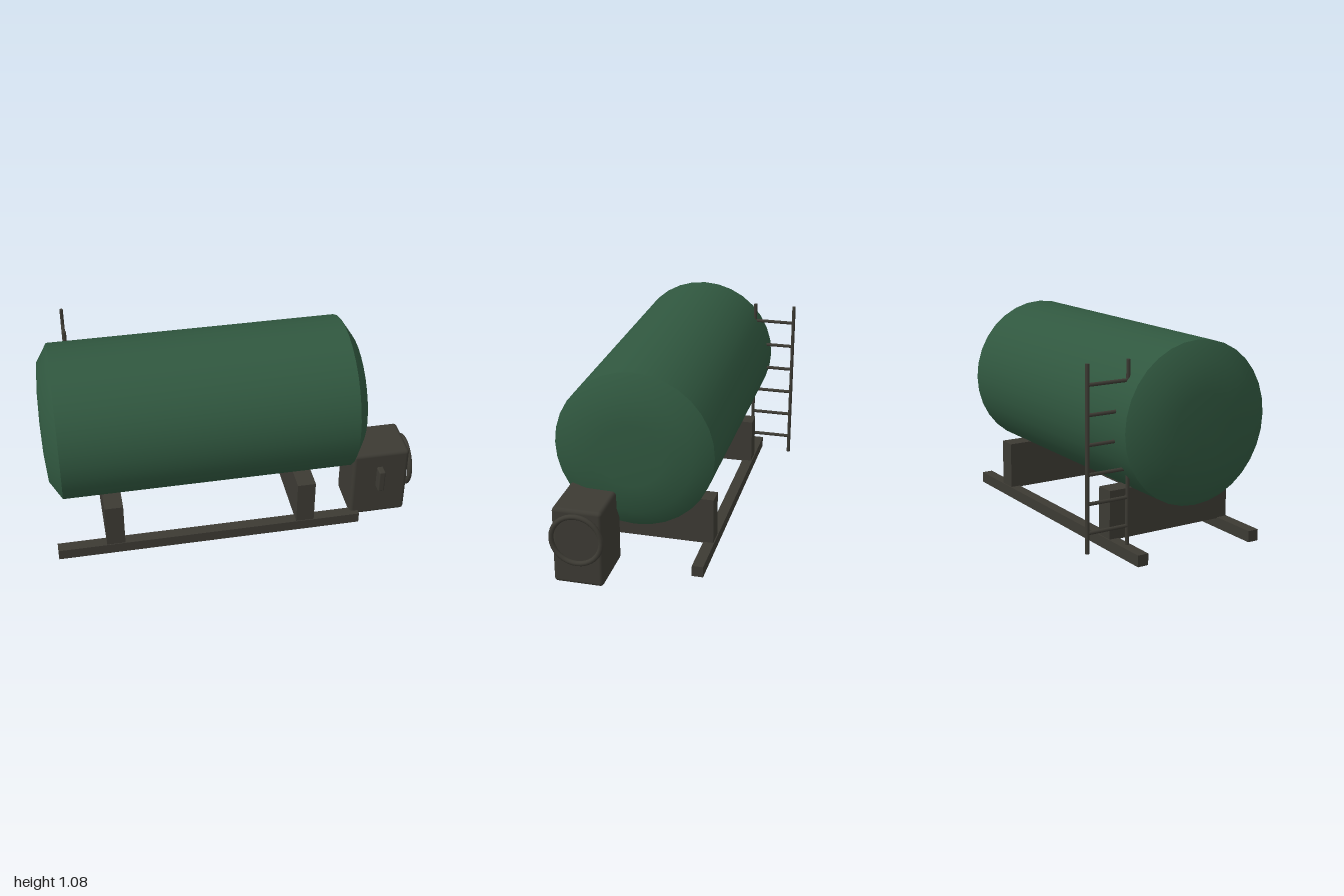
import * as THREE from 'three';
import { RoundedBoxGeometry } from 'three/addons/geometries/RoundedBoxGeometry.js';
import { toCreasedNormals } from 'three/addons/utils/BufferGeometryUtils.js';

export function createModel() {
  const model = new THREE.Group();
  model.name = 'horizontalTank';
  const green = new THREE.MeshStandardMaterial({ color: 0x30573f });
  green.name = 'tank green';
  const dark = new THREE.MeshStandardMaterial({ color: 0x3c3a33 });
  dark.name = 'dark steel';

  const add = (name, geometry, material, x, y, z, parent = model) => {
    const mesh = new THREE.Mesh(geometry, material);
    mesh.name = name;
    mesh.position.set(x, y, z);
    parent.add(mesh);
    return mesh;
  };

  // Tank shell with shallow dished ends, turned about the x axis
  const profile = [
    [0, -1], [0.17, -0.996], [0.32, -0.983], [0.42, -0.92],
    [0.42, 0.658], [0.32, 0.721], [0.17, 0.734], [0, 0.738],
  ].map(([r, h]) => new THREE.Vector2(r, h));
  const shell = new THREE.LatheGeometry(profile, 32).rotateZ(-Math.PI / 2);
  add('tank', toCreasedNormals(shell, 0.5), green, 0, 0.66, 0.08);

  // Skid rails
  for (const z of [0.42, -0.265]) {
    add('skidRail', new THREE.BoxGeometry(1.68, 0.06, 0.06), dark, -0.135, 0.03, z);
  }

  // Saddles under the tank
  for (const x of [-0.66, 0.395]) {
    add('saddle', new THREE.BoxGeometry(0.1, 0.26, 0.735), dark, x, 0.185, 0.078);
  }

  // Pump cabinet with round rim and side handle
  const cabinet = new THREE.Group();
  cabinet.name = 'pumpCabinet';
  model.add(cabinet);
  add('cabinetBody', new RoundedBoxGeometry(0.315, 0.42, 0.262, 3, 0.02), dark, 0.817, 0.24, 0.289, cabinet);
  const rim = new THREE.TorusGeometry(0.131, 0.0135, 10, 32).rotateY(Math.PI / 2);
  add('cabinetRim', rim, dark, 0.9855, 0.29, 0.29, cabinet);
  add('cabinetHandle', new RoundedBoxGeometry(0.036, 0.135, 0.06, 2, 0.008), dark, 0.813, 0.292, 0.441, cabinet);

  // Ladder at the back
  const ladder = new THREE.Group();
  ladder.name = 'ladder';
  model.add(ladder);
  for (const z of [-0.255, -0.486]) {
    add('ladderPole', new THREE.CylinderGeometry(0.01, 0.01, 0.945, 10), dark, -0.815, 0.5275, z, ladder);
  }
  for (let i = 0; i < 6; i++) {
    const rung = new THREE.CylinderGeometry(0.0095, 0.0095, 0.231, 10).rotateX(Math.PI / 2);
    add('ladderRung', rung, dark, -0.815, 0.16 + i * 0.1475, -0.3705, ladder);
  }
  return model;
}
